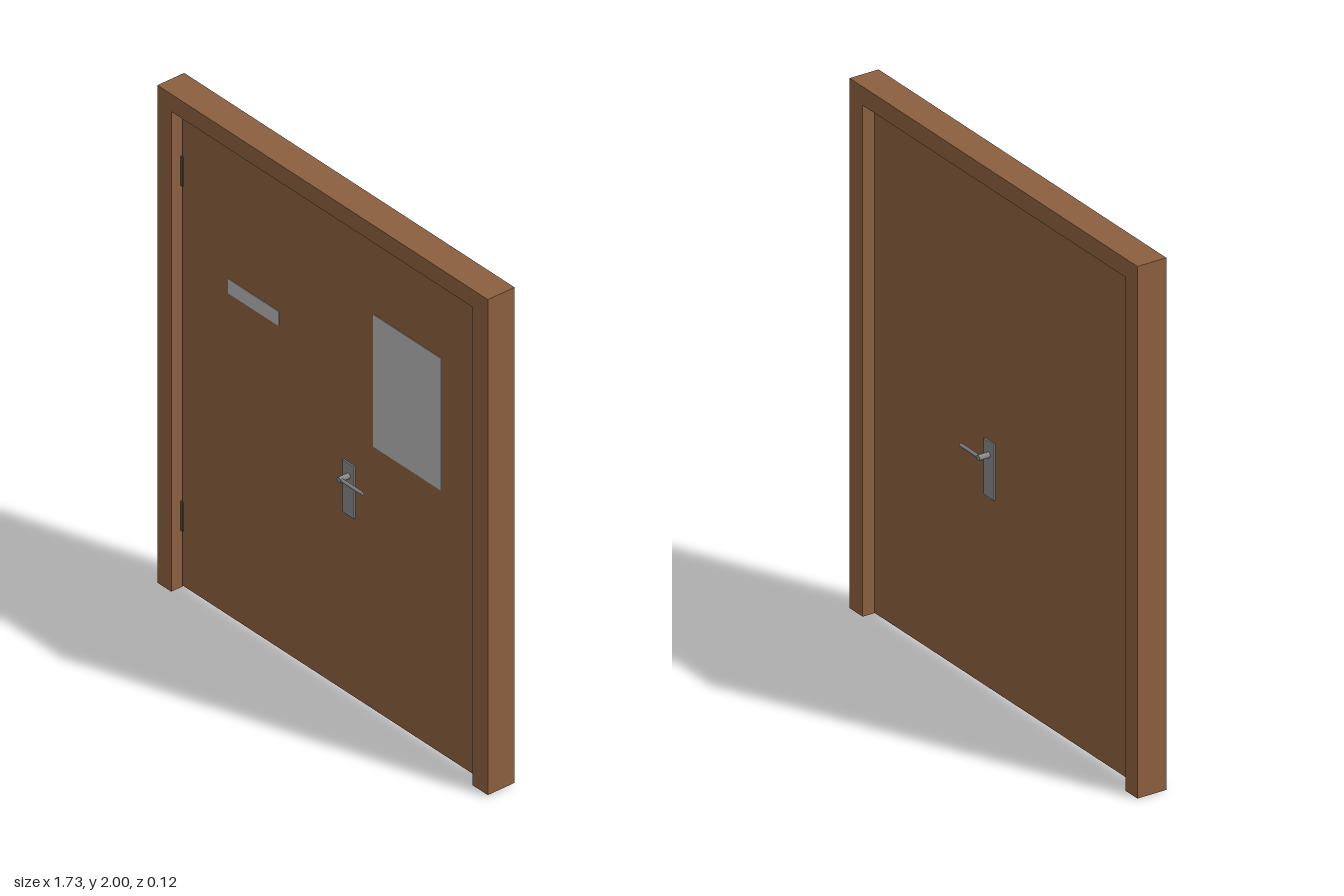
import * as THREE from 'three';

export function createModel() {
  const group = new THREE.Group();
  group.name = 'door';

  const paint = (name, color) => {
    const m = new THREE.MeshStandardMaterial({ color });
    m.name = name;
    return m;
  };
  const wood = paint('brown wood', 0x8b5f3f);
  const sign = paint('light grey panel', 0xb6b6b6);
  const metal = paint('grey metal', 0x85888a);
  const hinge = paint('dark hinge', 0x564a40);

  // Box given by its low and high limits on each axis
  const block = (name, material, [x0, x1], [y0, y1], [z0, z1], parent = group) => {
    const mesh = new THREE.Mesh(new THREE.BoxGeometry(x1 - x0, y1 - y0, z1 - z0), material);
    mesh.position.set((x0 + x1) / 2, (y0 + y1) / 2, (z0 + z1) / 2);
    mesh.name = name;
    parent.add(mesh);
    return mesh;
  };

  const frameZ = [-0.061, 0.057];
  const front = 0.013, back = -0.014;

  // Frame
  block('rightJamb', wood, [-0.866, -0.793], [0, 1.93], frameZ);
  block('leftJamb', wood, [0.787, 0.866], [0.008, 1.93], frameZ);
  block('head', wood, [-0.866, 0.866], [1.93, 2], frameZ);

  // Door leaf, with a narrow gap to the frame
  block('leaf', wood, [-0.786, 0.786], [0.01, 1.921], [back, front]);

  // Thin panels on the front
  block('largePanel', sign, [0.215, 0.57], [1.067, 1.598], [front - 0.001, front + 0.002]);
  block('smallPanel', sign, [-0.546, -0.282], [1.305, 1.363], [front - 0.001, front + 0.002]);

  // Hinges on the front edges
  for (const y of [0.23, 1.617]) {
    block('rightHinge', hinge, [-0.793, -0.782], [y, y + 0.118], [front - 0.008, front + 0.004]);
    block('leftHinge', hinge, [0.78, 0.787], [y, y + 0.118], [front - 0.008, front + 0.004]);
  }

  // Handle sets on both faces, each reaching out along side s
  for (const [side, face, s] of [['front', front, 1], ['back', back, -1]]) {
    const set = new THREE.Group();
    set.name = side + 'Handle';
    const span = (a, b) => [face + s * a, face + s * b].sort((p, q) => p - q);
    block('plate', metal, [0.058, 0.12], [0.73, 0.94], span(-0.001, 0.006), set);

    const neck = new THREE.Mesh(new THREE.CylinderGeometry(0.0105, 0.0105, 0.046, 12), metal);
    neck.rotation.x = Math.PI / 2;
    neck.position.set(0.09, 0.89, face + s * 0.026);
    neck.name = 'neck';
    set.add(neck);

    const lever = new THREE.Mesh(new THREE.CylinderGeometry(0.0065, 0.0065, 0.125, 12), metal);
    lever.rotation.z = Math.PI / 2;
    lever.position.set(0.1445, 0.89, face + s * 0.0415);
    lever.name = 'lever';
    set.add(lever);
    group.add(set);
  }

  return group;
}
